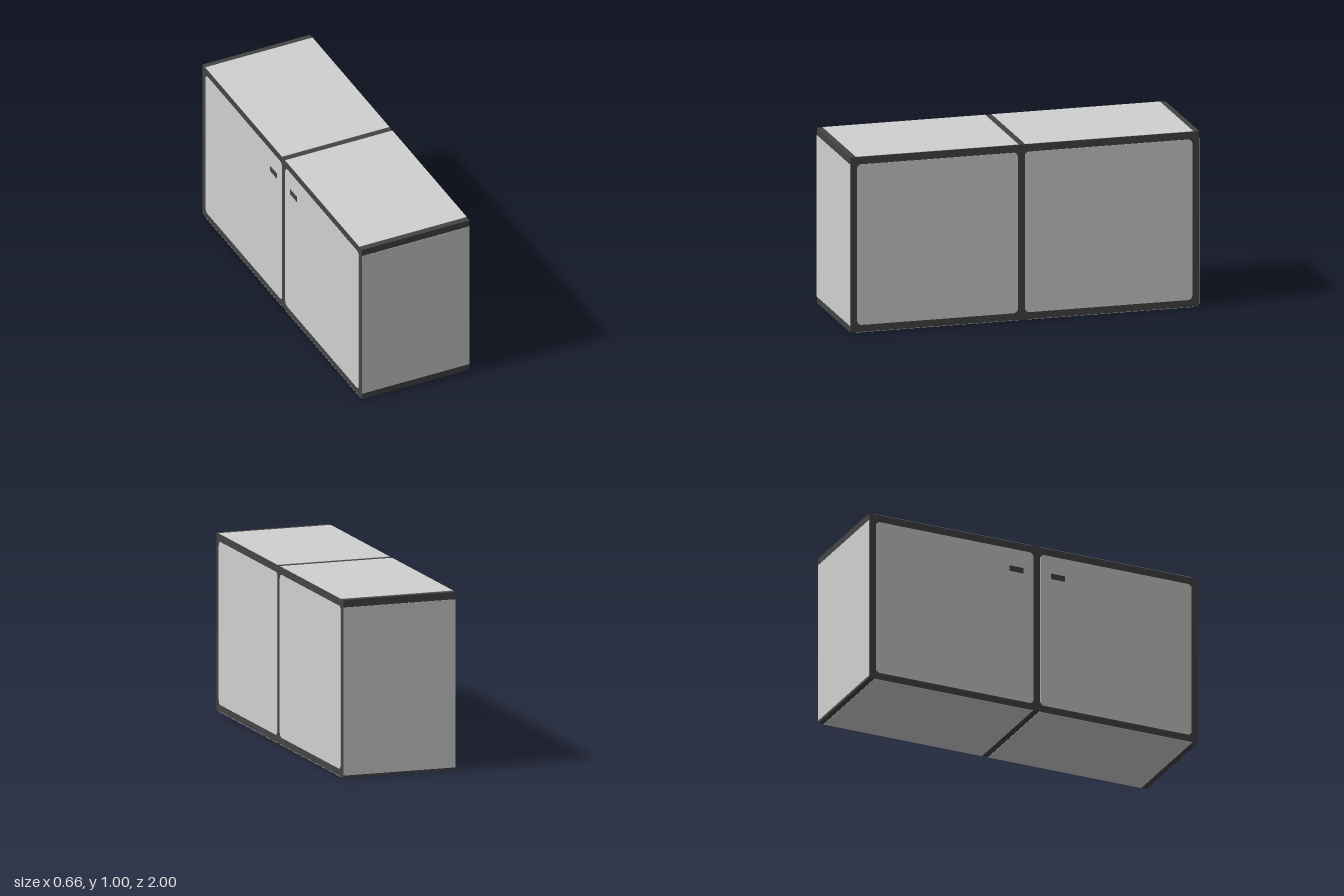
import * as THREE from 'three';

export function createModel() {
  const group = new THREE.Group();
  const dark = new THREE.MeshStandardMaterial({ color: 0x444444 });
  dark.name = 'charcoal';
  const light = new THREE.MeshStandardMaterial({ color: 0xd0d0d0 });
  light.name = 'pale grey';

  const W = 0.33; // half width in x
  const T = 0.002; // panel thickness

  const box = (name, material, x0, x1, y0, y1, z0, z1) => {
    const mesh = new THREE.Mesh(new THREE.BoxGeometry(x1 - x0, y1 - y0, z1 - z0), material);
    mesh.position.set((x0 + x1) / 2, (y0 + y1) / 2, (z0 + z1) / 2);
    mesh.name = name;
    group.add(mesh);
  };

  // Carcass, seen as the dark frame around every panel
  box('carcass', dark, -W + T, W - T, T, 1 - T, -1 + T, 1 - T);

  // End panels
  box('frontPanel', light, -W + T, W - T, 0.04, 0.957, 1 - T, 1);
  box('backPanel', light, -W + T, W - T, 0.015, 0.957, -1, -1 + T);

  // Top and bottom panels, split by the central divider
  for (const [z0, z1] of [[-0.965, -0.003], [0.035, 0.965]]) {
    box('topPanel', light, -W + T, W - T, 1 - T, 1, z0, z1);
    box('bottomPanel', light, -W + T, W - T, 0, T, z0, z1);
  }

  // Rounded door outline in the z-y plane
  const doorShape = (w, h, r) => {
    const s = new THREE.Shape();
    s.moveTo(-w / 2 + r, -h / 2);
    s.absarc(w / 2 - r, -h / 2 + r, r, -Math.PI / 2, 0);
    s.absarc(w / 2 - r, h / 2 - r, r, 0, Math.PI / 2);
    s.absarc(-w / 2 + r, h / 2 - r, r, Math.PI / 2, Math.PI);
    s.absarc(-w / 2 + r, -h / 2 + r, r, Math.PI, Math.PI * 1.5);
    return s;
  };

  // Two doors on each long side
  for (const side of [1, -1]) {
    for (const [z0, z1] of [[-0.958, -0.001], [0.04, 0.96]]) {
      const geometry = new THREE.ExtrudeGeometry(doorShape(z1 - z0, 0.913, 0.025), {
        depth: T, bevelEnabled: false, curveSegments: 5,
      });
      const door = new THREE.Mesh(geometry, light);
      door.name = side > 0 ? 'leftDoor' : 'rightDoor';
      door.rotation.y = side * Math.PI / 2;
      door.position.set(side * (W - T), 0.4985, (z0 + z1) / 2);
      group.add(door);
    }
  }

  // Small flat handles on the right-hand doors
  for (const z of [-0.106, 0.146]) {
    box('handle', dark, -W - 0.002, -W, 0.818, 0.85, z - 0.042, z + 0.042);
  }

  return group;
}
